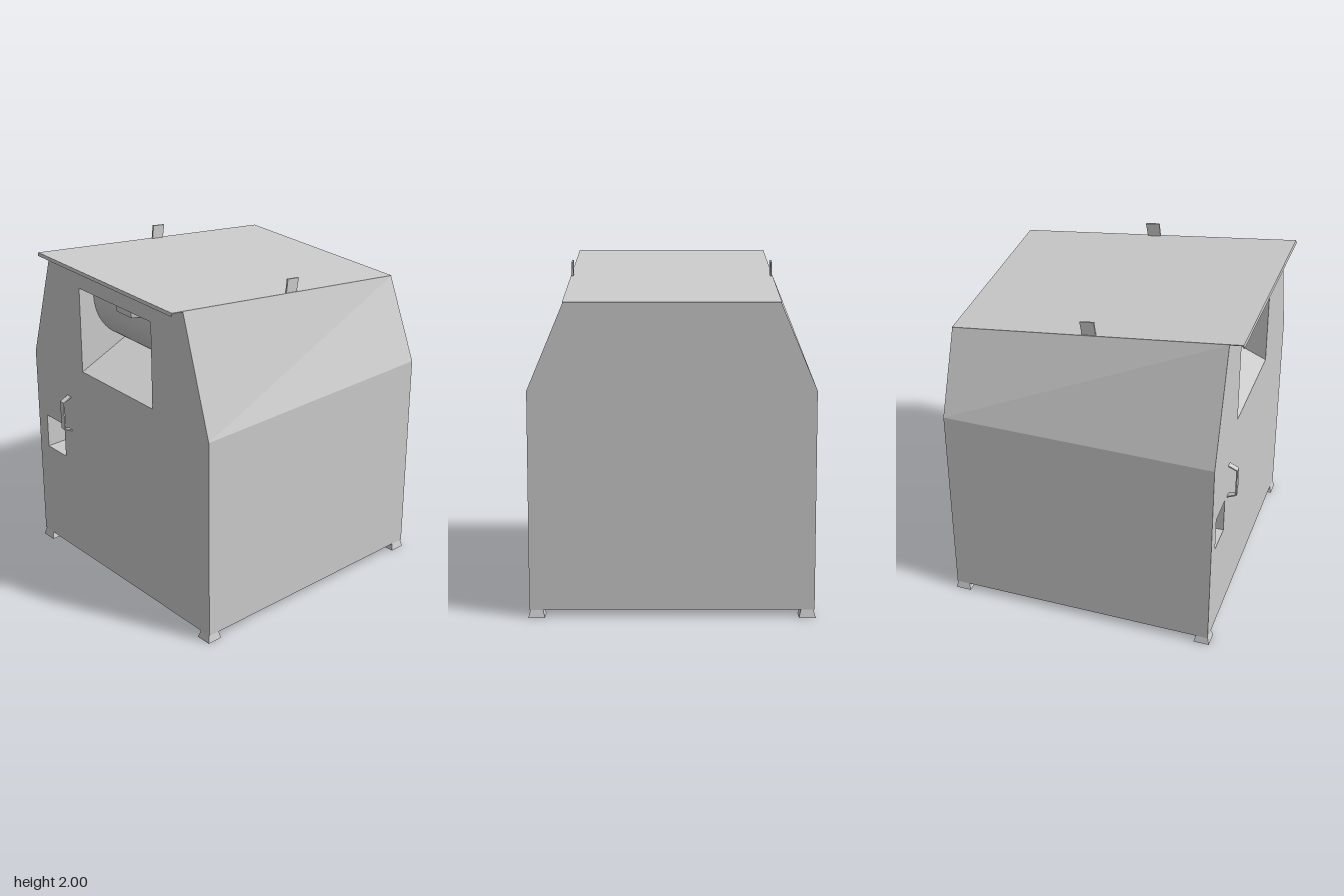
import * as THREE from 'three';

const FRONT = 0.77, BACK = -0.84;
const roofY = z => 1.78 + 0.13 * (z - BACK);

export function createModel() {
  const group = new THREE.Group();
  const mat = new THREE.MeshStandardMaterial({ color: 0xcccccc, side: THREE.DoubleSide });
  const flat = mat.clone();
  flat.flatShading = true;

  const add = (name, geo, material = flat, parent = group) => {
    const mesh = new THREE.Mesh(geo, material);
    mesh.name = name;
    parent.add(mesh);
    return mesh;
  };
  // Flat four-cornered panels, corners counter-clockwise seen from outside
  const quads = list => {
    const pos = [];
    for (const [a, b, c, d] of list) pos.push(...a, ...b, ...c, ...a, ...c, ...d);
    const g = new THREE.BufferGeometry();
    g.setAttribute('position', new THREE.Float32BufferAttribute(pos, 3));
    g.computeVertexNormals();
    return g;
  };
  const poly = pts => new THREE.Shape(pts.map(p => new THREE.Vector2(...p)));
  // Extrudes a (z, y) profile along x, centred on x = 0
  const sideExtrude = (pts, width) => new THREE.ExtrudeGeometry(poly(pts), { depth: width, bevelEnabled: false })
    .translate(0, 0, -width / 2).rotateY(-Math.PI / 2);

  // Body outline at a given depth, from bottom right round to bottom left
  const outline = z => {
    const top = roofY(z) - 0.004;
    return [[0.805, 0.045], [0.805, 1.29], [0.6, top], [-0.6, top], [-0.805, 1.29], [-0.805, 0.045]];
  };
  const f = outline(FRONT), b = outline(BACK);

  // Side, shoulder, roof and floor panels
  add('bodyShell', quads(f.map((p, i) => {
    const j = (i + 1) % f.length;
    return [[...p, FRONT], [...b[i], BACK], [...b[j], BACK], [...f[j], FRONT]];
  })));
  add('backPanel', new THREE.ShapeGeometry(poly(b)).rotateY(Math.PI).translate(0, 0, BACK));

  // Front panel with the chute opening and the lock opening
  const hatch = { x0: -0.325, x1: 0.325, y0: 1.315, y1: 1.84 };
  const lock = { x0: -0.72, x1: -0.54, y0: 0.67, y1: 0.885 };
  const frontShape = poly(f);
  for (const { x0, x1, y0, y1 } of [hatch, lock])
    frontShape.holes.push(new THREE.Path([[x0, y0], [x0, y1], [x1, y1], [x1, y0]].map(p => new THREE.Vector2(...p))));
  add('frontPanel', new THREE.ShapeGeometry(frontShape).translate(0, 0, FRONT));

  // Recess walls; the floor may rise towards the back
  const recess = ({ x0, x1, y0, y1 }, zb, yb, closed) => {
    const F = FRONT;
    const walls = [
      [[x0, y0, F], [x1, y0, F], [x1, yb, zb], [x0, yb, zb]],
      [[x0, y1, zb], [x1, y1, zb], [x1, y1, F], [x0, y1, F]],
      [[x0, y0, F], [x0, yb, zb], [x0, y1, zb], [x0, y1, F]],
      [[x1, y0, F], [x1, y1, F], [x1, y1, zb], [x1, yb, zb]],
    ];
    if (closed) walls.push([[x0, yb, zb], [x1, yb, zb], [x1, y1, zb], [x0, y1, zb]]);
    return quads(walls);
  };
  add('chuteRecess', recess(hatch, 0.43, 1.46, false));
  add('lockRecess', recess(lock, FRONT - 0.13, lock.y0, true));

  // Curved drum that closes the chute
  add('chuteDrum', new THREE.CylinderGeometry(0.34, 0.34, 0.65, 40, 1, true, -Math.PI / 2, Math.PI / 2 + 0.18)
    .rotateZ(Math.PI / 2).translate(0, 1.78, 0.33), mat);

  // Bent strip handles
  const handle = (half, out, width) => {
    const t = 0.008, s = 0.025;
    return new THREE.ExtrudeGeometry(poly([
      [-half, 0], [-half + s, out], [half - s, out], [half, 0],
      [half - t, 0], [half - s - t / 2, out - t], [-half + s + t / 2, out - t], [-half + t, 0],
    ]), { depth: width, bevelEnabled: false }).translate(0, 0, -width / 2);
  };
  const upright = new THREE.Matrix4().makeBasis(
    new THREE.Vector3(0, 1, 0), new THREE.Vector3(0, 0, 1), new THREE.Vector3(1, 0, 0));
  add('doorHandle', handle(0.115, 0.055, 0.035).applyMatrix4(upright).translate(-0.475, 0.99, FRONT));
  add('drumHandle', handle(0.092, 0.05, 0.035).rotateX(Math.PI / 2).translate(0.02, 1.79, 0.667));

  // Sheet lid overhanging the front, with a folded lip
  const lipZ = 0.848;
  add('lid', sideExtrude([
    [BACK, roofY(BACK)], [BACK, roofY(BACK) - 0.005], [lipZ - 0.006, roofY(lipZ) - 0.006],
    [lipZ - 0.002, 1.98], [lipZ + 0.004, 1.98], [lipZ, roofY(lipZ)],
  ], 1.205));

  // Lifting lugs on both roof edges
  for (const side of [-1, 1])
    add(side > 0 ? 'leftLiftingLug' : 'rightLiftingLug', sideExtrude(
      [[0.02, 1.87], [0.008, 1.972], [-0.075, 1.96], [-0.06, 1.87]], 0.01).translate(side * 0.593, 0, 0));

  // Flared feet at the corners
  const foot = new THREE.CylinderGeometry(0.035 * Math.SQRT2, 0.0475 * Math.SQRT2, 0.045, 4)
    .rotateY(Math.PI / 4);
  for (const x of [-0.764, 0.764])
    for (const z of [BACK + 0.04, FRONT - 0.037])
      add('foot', foot).position.set(x, 0.0225, z);

  return group;
}
